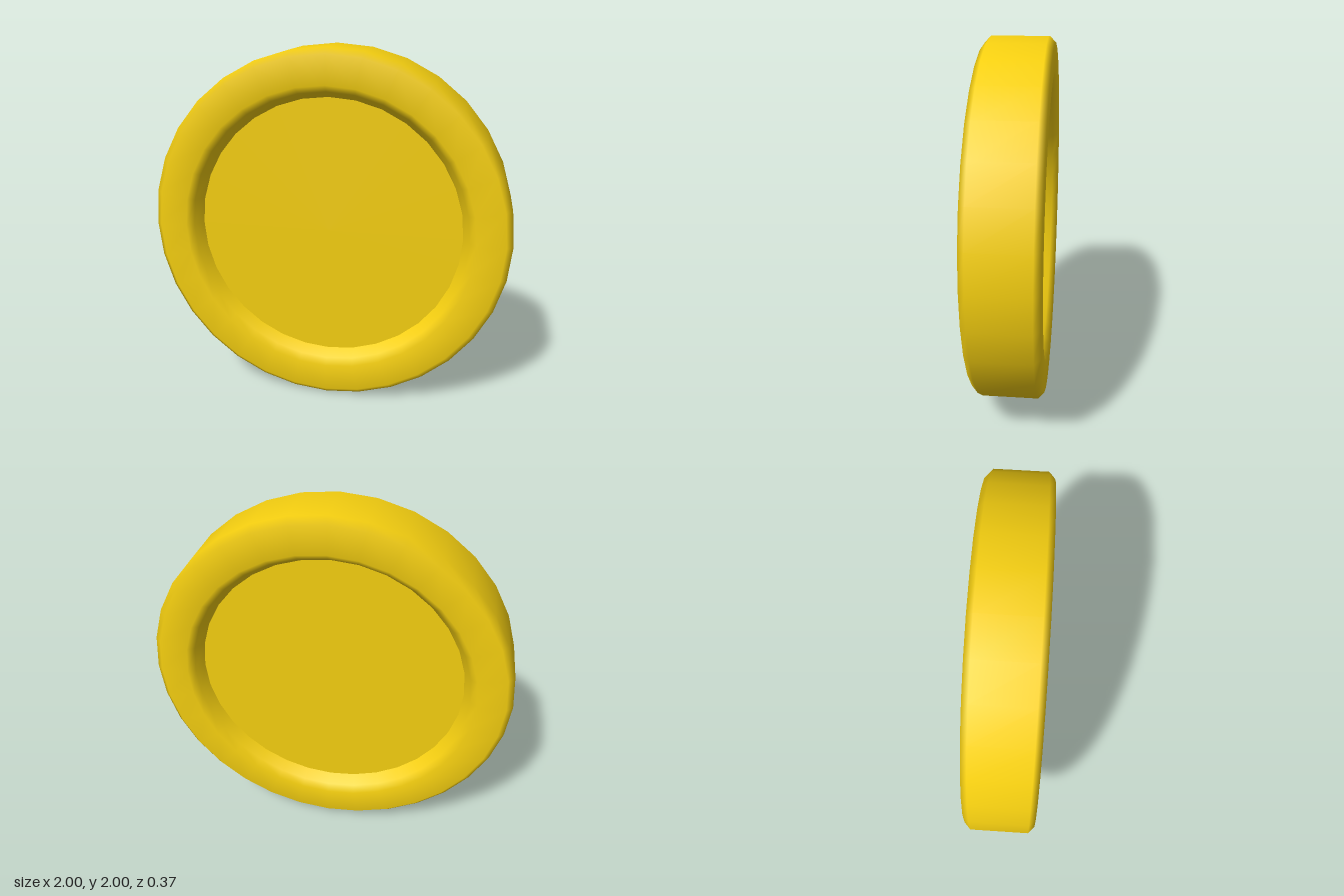
import * as THREE from 'three';

const SIDES = 32;
const FACE_R = 0.74;
const FACE_Z = 0.088;

export function createModel() {
  const model = new THREE.Group();
  model.name = 'coin';
  const gold = new THREE.MeshStandardMaterial({ color: 0xf5cf10 });

  // half of the rim's cross-section (radius, depth), from the outer edge to the recessed face
  const half = [[1, 0.15], [0.965, 0.183], [0.81, 0.183], [0.775, 0.15], [FACE_R, FACE_Z]];
  const profile = [
    ...half.map(([r, z]) => new THREE.Vector2(r, -z)).reverse(),
    ...half.map(([r, z]) => new THREE.Vector2(r, z)),
  ];

  // raised rounded rim
  const rim = new THREE.Mesh(new THREE.LatheGeometry(profile, SIDES).rotateX(Math.PI / 2), gold);
  rim.name = 'rim';
  rim.position.y = 1;
  model.add(rim);

  // flat recessed faces, front and back
  for (const [name, side] of [['frontFace', 1], ['backFace', -1]]) {
    const face = new THREE.Mesh(new THREE.CircleGeometry(FACE_R, SIDES), gold);
    face.name = name;
    face.position.set(0, 1, side * FACE_Z);
    if (side < 0) face.rotation.y = Math.PI;
    model.add(face);
  }

  return model;
}
